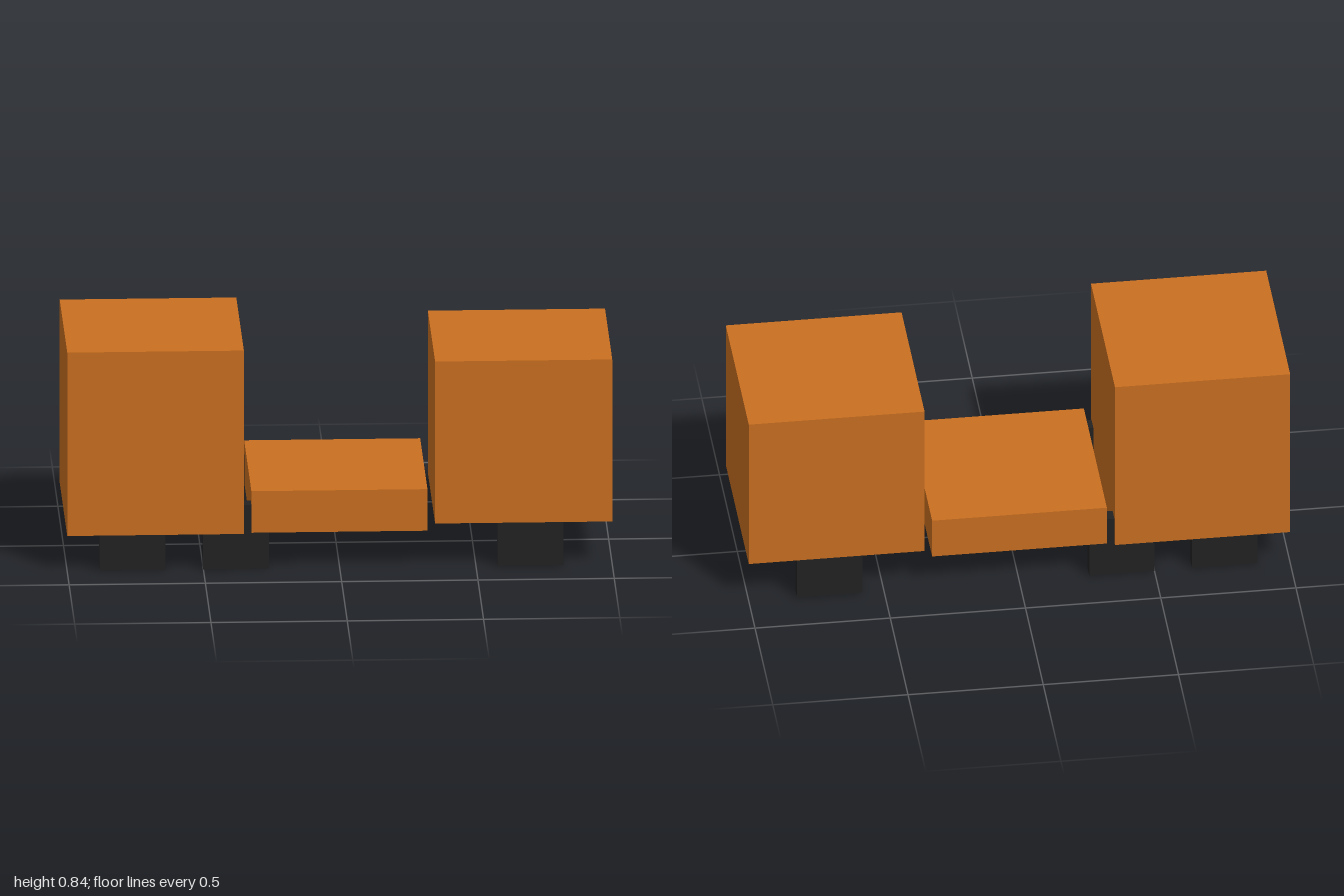
import * as THREE from 'three';

export function createModel() {
  const model = new THREE.Group();
  const orange = new THREE.MeshStandardMaterial({ color: 0xc96f20 });
  orange.name = 'orange paint';
  const black = new THREE.MeshStandardMaterial({ color: 0x222222 });
  black.name = 'black rubber';

  // Box given by its extents in x and y and its centred depth
  function block(name, material, x0, x1, y0, y1, depth, z = 0) {
    const mesh = new THREE.Mesh(new THREE.BoxGeometry(x1 - x0, y1 - y0, depth), material);
    mesh.position.set((x0 + x1) / 2, (y0 + y1) / 2, z);
    mesh.name = name;
    model.add(mesh);
  }

  // Body: tall box, low flat bed, second box
  block('tallBody', orange, -1, -0.352, 0.138, 0.84, 0.676);
  block('flatBed', orange, -0.324, 0.322, 0.138, 0.297, 0.648);
  block('endBody', orange, 0.35, 1, 0.165, 0.785, 0.648);

  // Three pairs of block wheels, set a hair inside the body sides
  const wheelDepth = 0.052;
  for (const x of [-0.76, -0.38, 0.7]) {
    for (const side of [1, -1]) {
      block(side > 0 ? 'frontWheel' : 'backWheel', black,
        x - 0.121, x + 0.121, 0, 0.245, wheelDepth, side * 0.297);
    }
  }
  return model;
}
